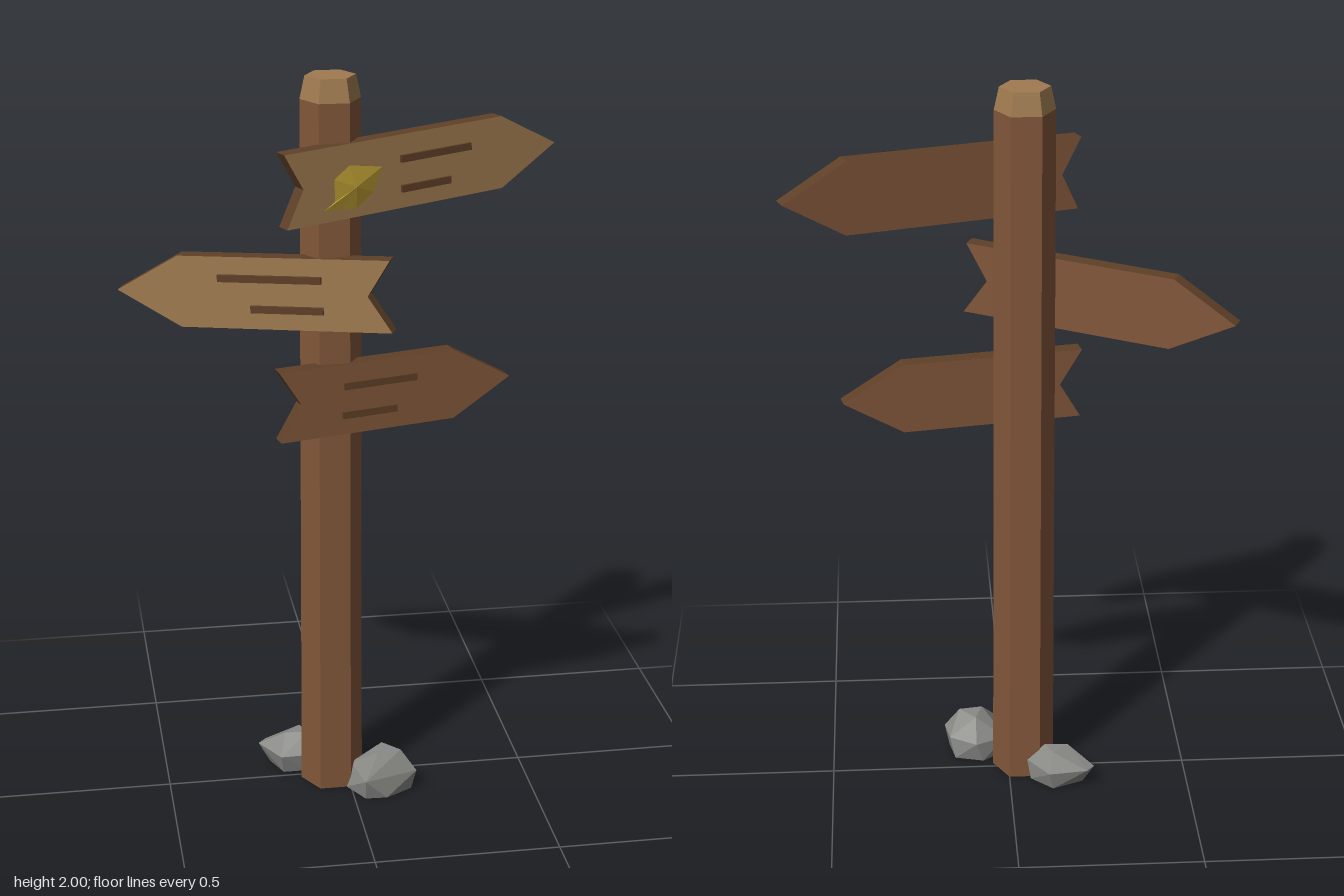
import * as THREE from 'three';
import { ConvexGeometry } from 'three/addons/geometries/ConvexGeometry.js';

const paint = (name, color, extra = {}) => {
  const m = new THREE.MeshStandardMaterial({ color, ...extra });
  m.name = name;
  return m;
};

export function createModel() {
  const brown = paint('brown wood', 0x82573a);
  const tan = paint('pale wood', 0xa07b50);
  const dark = paint('dark wood', 0x5f4027);
  const stone = paint('grey stone', 0x8a8a87);
  const gold = paint('yellow leaf', 0xb89a32, { side: THREE.DoubleSide });

  const model = new THREE.Group();
  model.name = 'signpost';

  const add = (parent, name, geometry, material, x = 0, y = 0, z = 0) => {
    const mesh = new THREE.Mesh(geometry, material);
    mesh.name = name;
    mesh.position.set(x, y, z);
    parent.add(mesh);
    return mesh;
  };

  // Six-sided post with a chamfered pale top
  const hexPrism = (rTop, rBottom, h) => {
    const g = new THREE.CylinderGeometry(rTop, rBottom, h, 6).rotateY(Math.PI / 6).toNonIndexed();
    g.computeVertexNormals();
    return g;
  };
  const POST_X = -0.043, POST_Z = 0.016;
  add(model, 'post', hexPrism(0.079, 0.086, 1.94), brown, POST_X, 0.97, POST_Z);
  add(model, 'postCap', hexPrism(0.066, 0.079, 0.06), tan, POST_X, 1.97, POST_Z);

  // Arrow boards: u runs along the board from the post, z = 0 is its front face
  const THICK = 0.042, HALF = 0.097;
  const addSign = ({ name, y, z, turn, tilt, tail, notch, shoulder, tip, front, grooves }) => {
    const sign = new THREE.Group();
    sign.name = name;
    sign.position.set(-0.045, y, z);
    sign.rotation.set(0, turn, tilt, 'YXZ');
    model.add(sign);

    const outline = new THREE.Shape([
      [tail, HALF], [notch, 0], [tail, -HALF], [shoulder, -HALF], [tip, 0], [shoulder, HALF],
    ].map(([u, v]) => new THREE.Vector2(u, v)));
    const board = new THREE.ExtrudeGeometry(outline, { depth: THICK, bevelEnabled: false });
    board.translate(0, 0, -THICK);

    // Back lid, front lid and edges each get their own material
    const lids = board.groups[0].count;
    const total = board.attributes.position.count;
    board.clearGroups();
    board.addGroup(0, lids / 2, 0);
    board.addGroup(lids / 2, lids / 2, 1);
    board.addGroup(lids, total - lids, 2);
    add(sign, name + 'Board', board, [brown, front, dark]);

    for (const [u, v, width] of grooves) {
      add(sign, name + 'Line', new THREE.BoxGeometry(width, 0.019, 0.009), dark, u, v, 0.0035);
    }
    return sign;
  };

  const upper = addSign({
    name: 'upperSign', y: 1.74, z: 0.108, turn: 0.382, tilt: 0.036, front: tan,
    tail: -0.143, notch: -0.092, shoulder: 0.509, tip: 0.679,
    grooves: [[0.302, 0.034, 0.215], [0.27, -0.045, 0.15]],
  });
  addSign({
    name: 'middleSign', y: 1.443, z: 0.103, turn: -0.408, tilt: 0.048, front: tan,
    tail: 0.149, notch: 0.087, shoulder: -0.422, tip: -0.594,
    grooves: [[-0.174, 0.04, 0.28], [-0.13, -0.042, 0.196]],
  });
  addSign({
    name: 'lowerSign', y: 1.155, z: 0.102, turn: 0.209, tilt: 0.0166, front: brown,
    tail: -0.151, notch: -0.092, shoulder: 0.337, tip: 0.501,
    grooves: [[0.128, 0.038, 0.204], [0.097, -0.042, 0.153]],
  });

  // Leaf resting on the upper board: a shallow fan around a raised middle
  const rim = [
    [-0.04, -0.065], [0.012, -0.067], [0.057, -0.074], [0.109, -0.038],
    [0.137, 0.024], [0.04, 0.043], [-0.005, 0.013], [-0.005, -0.045],
  ];
  const corners = [];
  rim.forEach(([u, v], i) => {
    const [u2, v2] = rim[(i + 1) % rim.length];
    corners.push(0.055, -0.014, 0.016, u, v, 0.006, u2, v2, 0.006);
  });
  const leaf = new THREE.BufferGeometry();
  leaf.setAttribute('position', new THREE.Float32BufferAttribute(corners, 3));
  leaf.computeVertexNormals();
  add(upper, 'leaf', leaf, gold);

  // Faceted stones at the foot: rings of [x, z] points keyed by height
  const addRock = (name, rings) => {
    const points = rings.flatMap(([y, ring]) => ring.map(([x, z]) => new THREE.Vector3(x, y, z)));
    add(model, name, new ConvexGeometry(points), stone);
  };
  addRock('frontRock', [
    [0, [[0.03, 0.165], [0.09, 0.168], [0.165, 0.125], [0.15, 0.05], [0.07, 0.03], [-0.012, 0.09]]],
    [0.06, [[0.027, 0.181], [0.178, 0.135], [0.165, 0.065], [0.09, 0.02], [0.005, 0.06]]],
    [0.121, [[0.07, 0.13], [0.135, 0.12], [0.09, 0.07]]],
  ]);
  addRock('backRock', [
    [0, [[-0.205, -0.09], [-0.12, -0.125], [-0.06, -0.07], [-0.09, -0.02], [-0.175, -0.02]]],
    [0.055, [[-0.237, -0.1], [-0.215, -0.125], [-0.108, -0.138], [-0.05, -0.057], [-0.09, -0.008], [-0.184, -0.005]]],
    [0.104, [[-0.165, -0.06], [-0.12, -0.1], [-0.1, -0.055]]],
  ]);

  return model;
}
